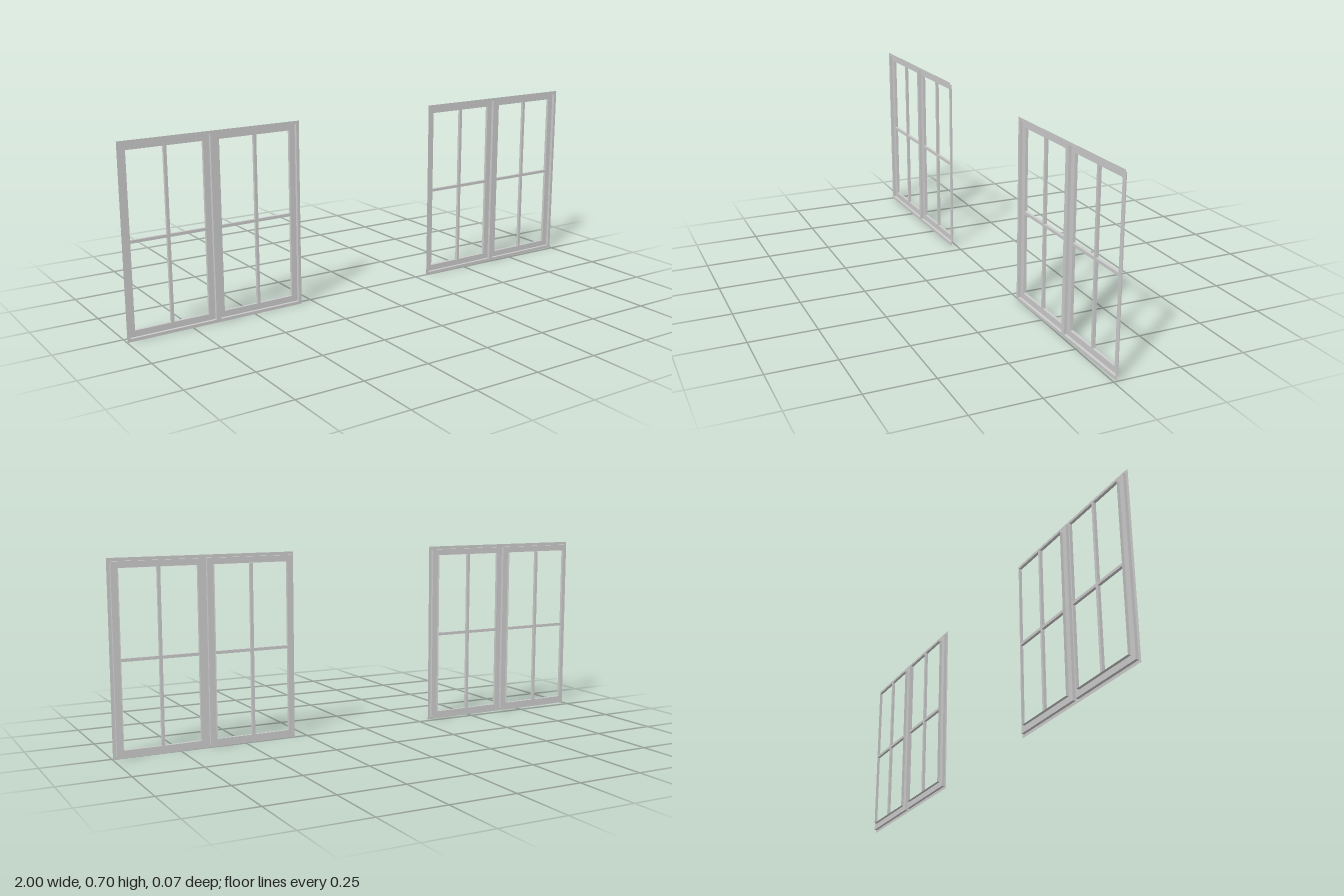
import * as THREE from 'three';

const material = new THREE.MeshStandardMaterial({ color: 0xcccccc, flatShading: true, side: THREE.DoubleSide });

const W = 0.7, H = 0.702;   // window size
const RIM = 0.0115;         // outer border width
const MULLION = 0.016;      // flat strip between the two sashes
const SASH = 0.023;         // sash frame width
const STEP = 0.011;         // depth of each rebate
const BAR = 0.011;          // glazing bar width

function add(parent, name, geometry, x = 0, y = 0, z = 0) {
  const mesh = new THREE.Mesh(geometry, material);
  mesh.name = name;
  mesh.position.set(x, y, z);
  parent.add(mesh);
}

// Rectangle outline centred on (x, 0)
function rect(target, w, h, x = 0) {
  target.moveTo(x - w / 2, -h / 2);
  target.lineTo(x + w / 2, -h / 2);
  target.lineTo(x + w / 2, h / 2);
  target.lineTo(x - w / 2, h / 2);
  target.closePath();
  return target;
}

// Flat plate with rectangular openings, each given as [width, height, x]
function plate(w, h, openings) {
  const shape = rect(new THREE.Shape(), w, h);
  openings.forEach(o => shape.holes.push(rect(new THREE.Path(), ...o)));
  return new THREE.ShapeGeometry(shape);
}

// Open four-sided sleeve lining an opening, running back from z = 0
function reveal(w, h, depth) {
  return new THREE.CylinderGeometry(Math.SQRT1_2, Math.SQRT1_2, 1, 4, 1, true, Math.PI / 4)
    .rotateX(Math.PI / 2).scale(w, h, depth).translate(0, 0, -depth / 2);
}

function createSash(w, h) {
  const sash = new THREE.Group();
  sash.name = 'sash';
  const gw = w - 2 * SASH, gh = h - 2 * SASH;
  add(sash, 'outerReveal', reveal(w, h, STEP));
  add(sash, 'sashFrame', plate(w, h, [[gw, gh]]), 0, 0, -STEP);
  add(sash, 'innerReveal', reveal(gw, gh, STEP), 0, 0, -STEP);
  // Crossed glazing bars
  add(sash, 'verticalBar', new THREE.BoxGeometry(BAR, gh, STEP), 0, 0, -1.5 * STEP);
  add(sash, 'horizontalBar', new THREE.BoxGeometry(gw, BAR, STEP), 0, 0, -1.5 * STEP);
  return sash;
}

function createWindow() {
  const group = new THREE.Group();
  group.name = 'window';
  const w = (W - 2 * RIM - MULLION) / 2, h = H - 2 * RIM;
  const offset = (w + MULLION) / 2;
  add(group, 'outerFrame', plate(W, H, [[w, h, -offset], [w, h, offset]]));
  for (const side of [-1, 1]) {
    const sash = createSash(w, h);
    sash.position.x = side * offset;
    group.add(sash);
  }
  return group;
}

export function createModel() {
  const model = new THREE.Group();
  model.name = 'windowPair';
  // Both windows share one slightly turned wall plane
  const wall = new THREE.Group();
  wall.name = 'wallPlane';
  wall.rotation.y = 0.0245;
  wall.position.set(0, H / 2, 0.012);
  for (const side of [-1, 1]) {
    const win = createWindow();
    win.name = side < 0 ? 'rightWindow' : 'leftWindow';
    win.position.x = side * 0.65;
    wall.add(win);
  }
  model.add(wall);
  return model;
}
